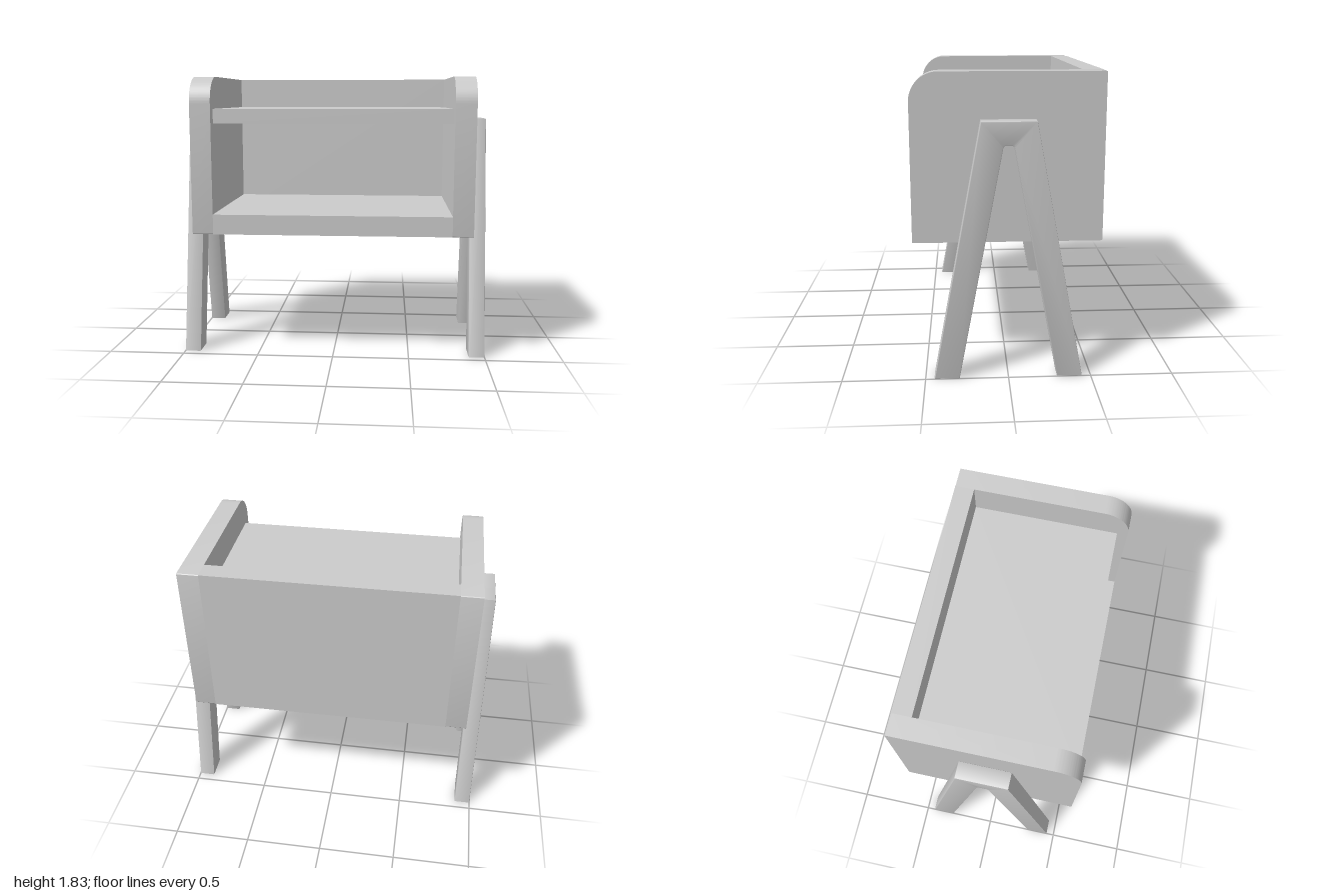
import * as THREE from 'three';
import { toCreasedNormals } from 'three/addons/utils/BufferGeometryUtils.js';

const material = new THREE.MeshStandardMaterial({ color: 0xcccccc });

function addMesh(group, name, geometry) {
  const mesh = new THREE.Mesh(geometry, material);
  mesh.name = name;
  group.add(mesh);
  return mesh;
}

// Box given by its limits on each axis
function addBox(group, name, [x0, x1], [y0, y1], [z0, z1]) {
  const mesh = addMesh(group, name, new THREE.BoxGeometry(x1 - x0, y1 - y0, z1 - z0));
  mesh.position.set((x0 + x1) / 2, (y0 + y1) / 2, (z0 + z1) / 2);
}

// Extrude a side profile (shape x = -z, shape y = y) from x0 to x1
function extrudeAcross(shape, x0, x1, bevel = 0) {
  const geometry = new THREE.ExtrudeGeometry(shape, {
    depth: x1 - x0 - 2 * bevel,
    curveSegments: 20,
    bevelEnabled: bevel > 0,
    bevelThickness: bevel,
    bevelSize: bevel,
    bevelOffset: -bevel,
    bevelSegments: 2,
  });
  geometry.translate(0, 0, x0 + bevel);
  geometry.rotateY(Math.PI / 2);
  return toCreasedNormals(geometry, 0.6);
}

export function createModel() {
  const model = new THREE.Group();
  model.name = 'nightstand';

  const inner = 0.762, outer = 0.895, legOuter = 1;
  const bottom = 0.825, top = 1.825, half = 0.565;
  const floorTop = 0.953, backFront = -0.442;

  // Side panel profile with a large rounded upper front corner
  const r = 0.17, e = 0.008;
  const side = new THREE.Shape();
  side.moveTo(-half + e, bottom);
  side.lineTo(half - e, bottom);
  side.quadraticCurveTo(half, bottom, half, bottom + e);
  side.lineTo(half, top - e);
  side.quadraticCurveTo(half, top, half - e, top);
  side.lineTo(-half + r, top);
  side.absarc(-half + r, top - r, r, Math.PI / 2, Math.PI, false);
  side.lineTo(-half, bottom + e);
  side.quadraticCurveTo(-half, bottom, -half + e, bottom);

  // A-shaped leg frame profile with a narrow opening
  const leg = new THREE.Shape();
  leg.moveTo(-0.447, 0);
  leg.lineTo(-0.295, 0);
  leg.lineTo(-0.034, 1.4);
  leg.quadraticCurveTo(-0.031, 1.417, -0.018, 1.417);
  leg.lineTo(0.018, 1.417);
  leg.quadraticCurveTo(0.031, 1.417, 0.034, 1.4);
  leg.lineTo(0.295, 0);
  leg.lineTo(0.447, 0);
  leg.lineTo(0.16, 1.555);
  leg.lineTo(-0.16, 1.555);
  leg.closePath();

  // Mirrored panels and legs
  for (const [label, s] of [['left', 1], ['right', -1]]) {
    const span = (a, b) => (s > 0 ? [a, b] : [-b, -a]);
    addMesh(model, `${label}SidePanel`, extrudeAcross(side, ...span(inner, outer)));
    addMesh(model, `${label}LegFrame`, extrudeAcross(leg, ...span(outer, legOuter), 0.005));
  }

  // Back, floor and recessed shelf between the side panels
  addBox(model, 'backPanel', [-inner, inner], [bottom, top], [-half, backFront]);
  addBox(model, 'floorPanel', [-inner, inner], [bottom, floorTop], [backFront, half]);
  addBox(model, 'shelf', [-inner, inner], [1.53, 1.622], [backFront, 0.497]);

  return model;
}
